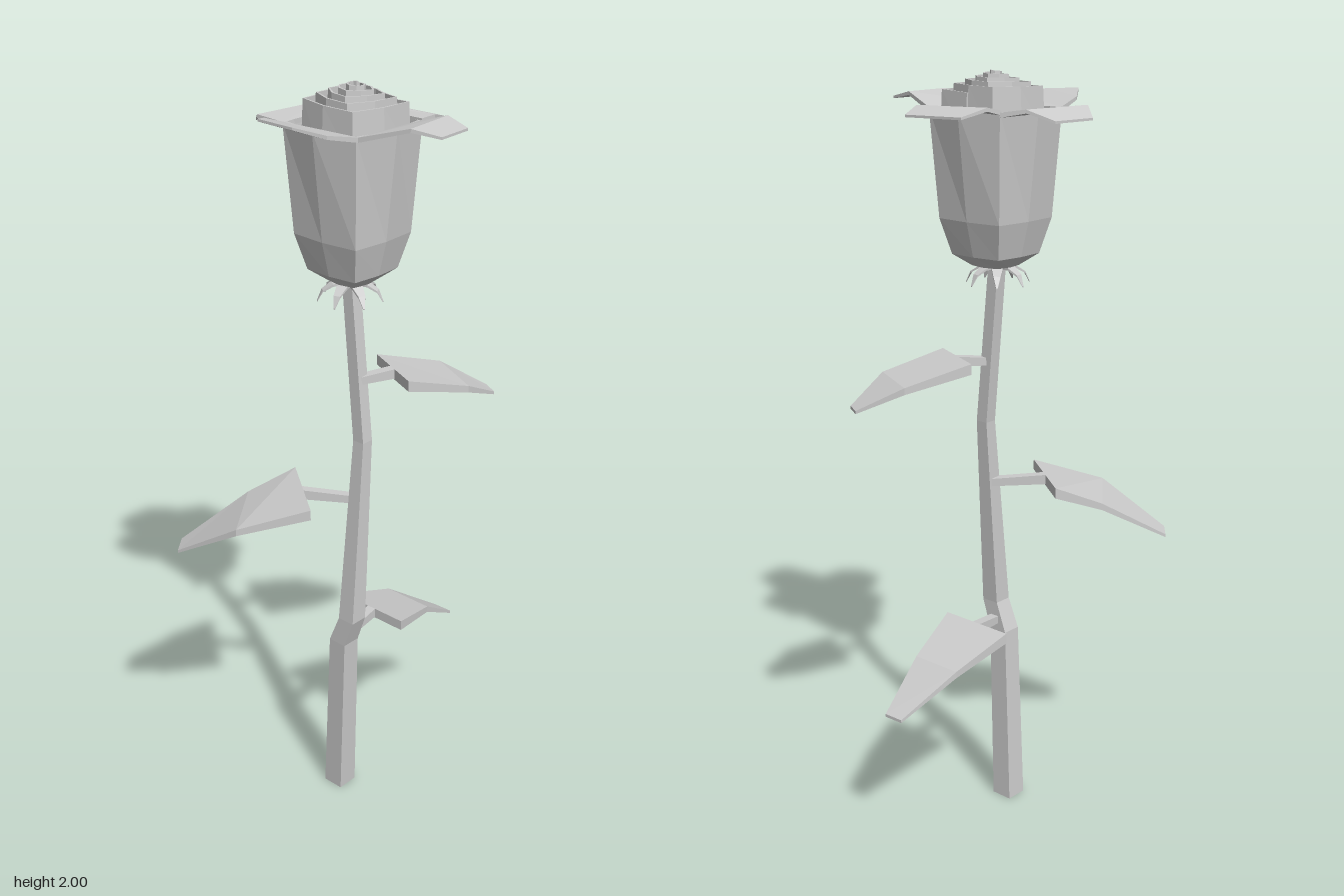
import * as THREE from 'three';

const material = new THREE.MeshStandardMaterial({ color: 0xcccccc, flatShading: true, side: THREE.DoubleSide });

// Closed solid through a list of cross-sections with equal point counts
function loft(name, sections) {
  const n = sections[0].length, last = (sections.length - 1) * n;
  const points = sections.flat(), index = [];
  for (let s = 0; s < sections.length - 1; s++) {
    for (let i = 0; i < n; i++) {
      const a = s * n + i, b = s * n + (i + 1) % n;
      index.push(a, b, b + n, a, b + n, a + n);
    }
  }
  for (let i = 1; i < n - 1; i++) {
    index.push(0, i + 1, i, last, last + i, last + i + 1);
  }
  // Turn the faces outward when the enclosed volume is negative
  const v = points.map((p) => new THREE.Vector3(...p));
  let volume = 0;
  for (let i = 0; i < index.length; i += 3) {
    volume += v[index[i]].dot(v[index[i + 1]].clone().cross(v[index[i + 2]]));
  }
  if (volume < 0) index.reverse();
  const indexed = new THREE.BufferGeometry().setFromPoints(v);
  indexed.setIndex(index);
  const geometry = indexed.toNonIndexed();
  geometry.computeVertexNormals();
  const mesh = new THREE.Mesh(geometry, material);
  mesh.name = name;
  return mesh;
}

// Thin plate: each row is [one edge, other edge], thickness runs from t0 to t1
function plate(name, rows, t0, t1) {
  return loft(name, rows.map(([a, b], i) => {
    const t = THREE.MathUtils.lerp(t0, t1, i / (rows.length - 1));
    return [a, b, [b[0], b[1] - t, b[2]], [a[0], a[1] - t, a[2]]];
  }));
}

const square = (x, y, z, h) => [[x - h, y, z - h], [x + h, y, z - h], [x + h, y, z + h], [x - h, y, z + h]];

// Eight-point cup ring: corner half-size c, side half-size m
const CX = -0.022, CZ = 0.022;
const cupRing = (y, c, m) => [[-c, -c], [0, -m], [c, -c], [m, 0], [c, c], [0, m], [-c, c], [-m, 0]]
  .map(([x, z]) => [CX + x, y, CZ + z]);

export function createModel() {
  const model = new THREE.Group();
  model.name = 'rose';

  // Square stem with a kink
  model.add(loft('stem', [
    square(-0.055, 0, 0.003, 0.03),
    square(-0.066, 0.5, 0.03, 0.027),
    square(-0.066, 0.58, 0.06, 0.025),
    square(-0.029, 1.1, 0.063, 0.017),
    square(-0.026, 1.53, 0.02, 0.016),
  ]));

  // Leaves: stalk start, then plate rows from base to tip
  const leaves = [
    { stalk: [-0.06, 0.54, 0.045], rows: [
      [[0.045, 0.55, -0.075], [0.045, 0.55, 0.14]],
      [[0.22, 0.495, -0.055], [0.22, 0.495, 0.09]],
      [[0.37, 0.395, 0], [0.372, 0.395, 0.055]]] },
    { stalk: [-0.03, 0.94, 0.06], rows: [
      [[-0.05, 0.955, -0.16], [-0.2, 0.955, 0.04]],
      [[-0.16, 0.9, -0.23], [-0.33, 0.9, -0.1]],
      [[-0.325, 0.79, -0.32], [-0.375, 0.79, -0.28]]] },
    { stalk: [-0.03, 1.275, 0.05], rows: [
      [[0.09, 1.285, 0.005], [0.01, 1.285, 0.18]],
      [[0.25, 1.24, 0.085], [0.17, 1.24, 0.245]],
      [[0.325, 1.178, 0.185], [0.3, 1.178, 0.23]]] },
  ];
  for (const { stalk, rows } of leaves) {
    const leaf = new THREE.Group();
    leaf.name = 'leaf';
    leaf.add(plate('leafBlade', rows, 0.028, 0.008));
    const [a, b] = rows[0].map((p) => new THREE.Vector3(...p));
    const middle = a.clone().lerp(b, 0.5);
    const side = b.clone().sub(a).setLength(0.013);
    const row = (p) => [p.clone().sub(side).toArray(), p.clone().add(side).toArray()];
    leaf.add(plate('leafStalk', [row(new THREE.Vector3(...stalk)), row(middle)], 0.02, 0.026));
    model.add(leaf);
  }

  // Small drooping sepals under the flower
  const sepals = new THREE.Group();
  sepals.name = 'sepals';
  for (let i = 0; i < 7; i++) {
    const angle = (i / 7) * Math.PI * 2 + 0.2;
    const c = Math.cos(angle), s = Math.sin(angle);
    const rows = [[0.008, 1.52, 0.01], [0.045, 1.518, 0.014], [0.07, 1.502, 0.009], [0.083, 1.475, 0.002]]
      .map(([r, y, w]) => [-w, w].map((k) => [-0.03 + r * c - k * s, y, 0.022 + r * s + k * c]));
    sepals.add(plate('sepal', rows, 0.008, 0.003));
  }
  model.add(sepals);

  // Cup of outer petals, hollow at the top
  model.add(loft('petalCup', [
    cupRing(1.52, 0.042, 0.05),
    cupRing(1.55, 0.078, 0.085),
    cupRing(1.64, 0.1, 0.108),
    cupRing(1.91, 0.116, 0.138),
    cupRing(1.91, 0.108, 0.128),
    cupRing(1.64, 0.09, 0.098),
  ]));

  // Outer petal tips curling away from the rim
  const tips = [
    [[[-0.135, 1.91, 0.137], [0.092, 1.91, 0.137]],
      [[-0.095, 1.943, 0.26], [0.06, 1.943, 0.24]],
      [[-0.06, 1.928, 0.32], [0.045, 1.928, 0.31]]],
    [[[-0.14, 1.91, -0.09], [0.096, 1.91, -0.095]],
      [[-0.15, 1.918, -0.165], [0.065, 1.918, -0.15]],
      [[-0.1, 1.893, -0.22], [0.035, 1.893, -0.215]]],
    [[[-0.137, 1.91, -0.092], [-0.13, 1.91, 0.14]],
      [[-0.205, 1.932, -0.086], [-0.22, 1.928, 0.125]],
      [[-0.27, 1.948, -0.04], [-0.262, 1.943, 0.06]]],
    [[[0.092, 1.915, -0.098], [0.088, 1.915, 0.14]],
      [[0.122, 1.922, -0.08], [0.13, 1.918, 0.145]],
      [[0.187, 1.902, -0.055], [0.195, 1.9, 0.12]]],
  ];
  for (const rows of tips) model.add(plate('petalTip', rows, 0.012, 0.006));

  // Inner petals: one angular spiral wall, squarer outside and rising to the middle
  const spiral = [];
  const perTurn = 8, steps = perTurn * 5;
  for (let i = 0; i <= steps; i++) {
    const t = i / steps;
    const angle = (i / perTurn) * Math.PI * 2 + t * 0.7;
    const corner = i % 2 ? 1 + 0.3 * (1 - t) : 1;
    const r = THREE.MathUtils.lerp(0.104, 0.01, t) * corner;
    const top = 1.95 + 0.05 * Math.pow(t, 0.7);
    const at = (radius, y) => [CX + 0.006 * t + radius * Math.cos(angle), y, CZ + radius * Math.sin(angle)];
    spiral.push([at(r + 0.006, top - 0.12), at(r, top), at(r - 0.005, top), at(r + 0.001, top - 0.12)]);
  }
  model.add(loft('innerPetals', spiral));

  return model;
}
